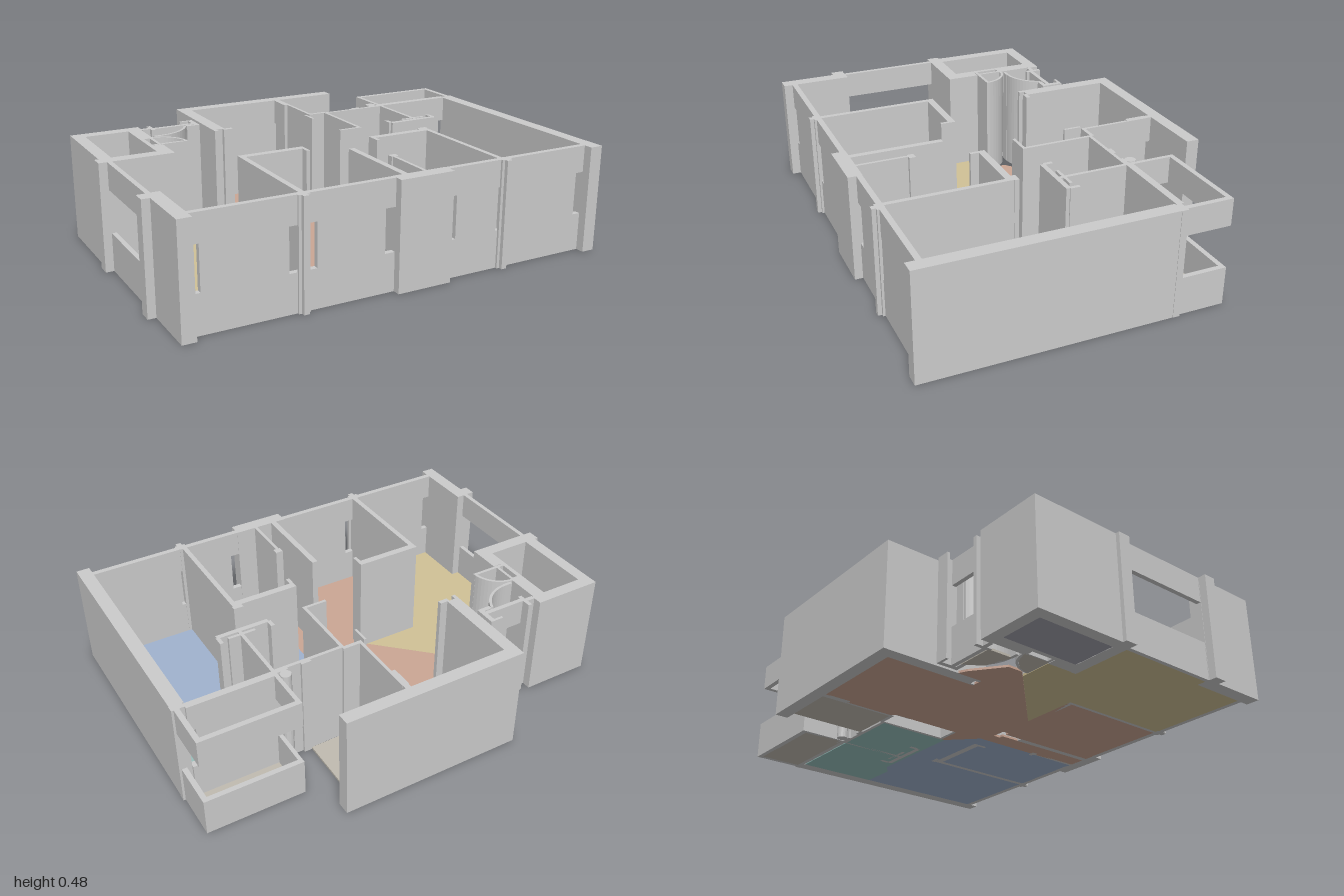
import * as THREE from 'three';

const H = 0.48, SILL = 0.17, HEAD = 0.36;

export function createModel() {
  const model = new THREE.Group();
  const grey = new THREE.MeshStandardMaterial({ color: 0xcccccc, flatShading: true });

  // Upright block given by its plan rectangle and height range
  function wall(name, x0, x1, z0, z1, y0 = 0, y1 = H) {
    const m = new THREE.Mesh(new THREE.BoxGeometry(x1 - x0, y1 - y0, z1 - z0), grey);
    m.position.set((x0 + x1) / 2, (y0 + y1) / 2, (z0 + z1) / 2);
    m.name = name;
    model.add(m);
  }
  // Window: a sill band and a head band with a gap between
  function windowBands(name, x0, x1, z0, z1) {
    wall(name + 'Sill', x0, x1, z0, z1, 0, SILL);
    wall(name + 'Head', x0, x1, z0, z1, HEAD, H);
  }
  // Extruded plan shape; points are [x, z]
  function slab(name, pts, height, material) {
    const shape = new THREE.Shape(pts.map(([x, z]) => new THREE.Vector2(x, -z)));
    const geo = new THREE.ExtrudeGeometry(shape, { depth: height, bevelEnabled: false });
    geo.rotateX(-Math.PI / 2);
    const m = new THREE.Mesh(geo, material);
    m.name = name;
    model.add(m);
  }
  const floor = (name, color, pts) =>
    slab(name, pts, 0.01, new THREE.MeshStandardMaterial({ color }));
  const rect = (x0, x1, z0, z1) => [[x0, z0], [x1, z0], [x1, z1], [x0, z1]];
  // Curved thin partition
  function curvedWall(name, cx, cz, r, a0, a1, t = 0.012) {
    const pts = [], n = 12;
    for (let i = 0; i <= n; i++) {
      const a = a0 + (a1 - a0) * i / n;
      pts.push([cx + r * Math.cos(a), cz + r * Math.sin(a)]);
    }
    for (let i = n; i >= 0; i--) {
      const a = a0 + (a1 - a0) * i / n;
      pts.push([cx + (r - t) * Math.cos(a), cz + (r - t) * Math.sin(a)]);
    }
    slab(name, pts, H, grey);
  }

  // Room floors
  floor('hallFloor', 0xcba694, [[-0.325, -0.7], [0.13, -0.7], [0.145, -0.58], [0.145, -0.37],
    [0.127, -0.34], [0.127, -0.03], [0.235, -0.02], [0.235, 0], [0.115, 0.12], [0.115, 0.69],
    [0.03, 0.69], [0.03, 0.18], [0.05, 0.18], [0.05, 0.145], [-0.015, 0.145], [-0.015, 0.18],
    [0.005, 0.18], [0.005, 0.69], [-0.435, 0.69], [-0.435, 0.15], [-0.18, 0.15], [-0.55, -0.21],
    [-0.55, -0.28], [-0.42, -0.38], [-0.38, -0.4], [-0.38, -0.28], [-0.325, -0.28]]);
  floor('livingRoomFloor', 0xd0c196, [[-0.945, -0.03], [-0.67, -0.03], [-0.67, -0.18], [-0.52, -0.18],
    [-0.18, 0.15], [-0.45, 0.15], [-0.45, 0.69], [-0.905, 0.69], [-0.905, 0.43], [-0.945, 0.43]]);
  floor('bedroomFloor', 0xa0b2ce, [[0.115, 0.12], [0.235, 0], [0.71, 0], [0.76, 0.04],
    [0.93, 0.04], [0.93, 0.69], [0.115, 0.69]]);
  floor('bathFloor', 0x98c0bc, [[0.235, -0.335], [0.93, -0.335], [0.93, 0.04],
    [0.76, 0.04], [0.71, 0], [0.235, 0]]);
  floor('utilityFloor', 0xa09fa9, rect(-0.93, -0.73, -0.46, -0.09));
  floor('rearTerraceFloor', 0xc0bbb0, rect(0.155, 0.395, -0.7, -0.36));
  floor('sideBalconyFloor', 0xc0bbb0, rect(0.55, 0.96, -0.55, -0.36));
  floor('nicheFloor', 0xc0bbb0, [[-0.62, -0.44], [-0.45, -0.44], [-0.5, -0.36], [-0.62, -0.32]]);
  floor('closetFloor', 0xc0bbb0, [[-0.68, -0.31], [-0.62, -0.29], [-0.57, -0.24], [-0.55, -0.185], [-0.68, -0.185]]);

  // Front facade: window slots and solid panels
  const z0 = 0.687, z1 = 0.712;
  for (const [a, b] of [[-0.91, -0.87], [-0.51, -0.46], [-0.44, -0.39], [-0.085, -0.04],
    [0.21, 0.255], [0.46, 0.485], [0.51, 0.53], [0.89, 0.93]]) windowBands('frontSlot', a, b, z0, z1);
  for (const [a, b] of [[-0.87, -0.51], [-0.39, -0.085], [0.255, 0.46], [0.53, 0.89]])
    wall('frontPanel', a, b, z0, z1);
  wall('frontCentrePier', -0.04, 0.212, 0.685, 0.748);
  for (const x of [-0.45, 0.4975]) {
    wall('frontFin', x - 0.0125, x + 0.0125, 0.685, 0.74);
    wall('frontFinFlange', x - 0.025, x + 0.025, 0.71, 0.722);
  }

  // Right side wall, its front pier and rear wall
  wall('rightWall', 0.928, 0.988, -0.335, 0.752);
  wall('rearRightWall', 0.54, 0.905, -0.372, -0.34);
  windowBands('rearRightSlot', 0.905, 0.935, -0.372, -0.34);
  wall('rearRightCorner', 0.935, 0.99, -0.36, -0.33);

  // Side balcony rail and beam
  windowBands('balconyBack', 0.54, 0.98, -0.57, -0.547);
  windowBands('balconyRight', 0.957, 0.98, -0.547, -0.36);
  windowBands('balconyLeft', 0.54, 0.558, -0.547, -0.372);
  const pipe = new THREE.Mesh(new THREE.CylinderGeometry(0.024, 0.024, H, 16), grey);
  pipe.position.set(0.513, H / 2, -0.382);
  pipe.name = 'drainPipe';
  model.add(pipe);
  wall('pipeBracket', 0.49, 0.545, -0.36, -0.335);

  // Left side: front pier, window, stub
  wall('leftFrontPier', -0.965, -0.905, 0.43, 0.752);
  wall('leftPierStub', -1, -0.96, 0.432, 0.49);
  windowBands('leftWindow', -0.963, -0.942, -0.03, 0.43);

  // Utility room box
  wall('utilityLeftWall', -0.982, -0.928, -0.515, -0.03);
  wall('utilityCorner', -1, -0.975, -0.088, -0.03);
  wall('utilityBackWall', -0.928, -0.665, -0.515, -0.46);
  wall('utilityFrontWall', -0.928, -0.668, -0.088, -0.03);
  wall('utilityRightWall', -0.73, -0.67, -0.46, -0.31);
  wall('utilityRightWall', -0.73, -0.71, -0.31, -0.18);
  wall('utilityRightWall', -0.73, -0.668, -0.18, -0.088);

  // Entry niche with window and curved partitions
  windowBands('nicheWindow', -0.61, -0.42, -0.465, -0.445);
  wall('nicheLeftPost', -0.628, -0.61, -0.505, -0.43);
  wall('nicheLeftReturn', -0.665, -0.628, -0.475, -0.455);
  wall('nicheRightPost', -0.42, -0.398, -0.52, -0.42);
  wall('nicheRightFlange', -0.46, -0.398, -0.52, -0.508);
  wall('nicheStub', -0.46, -0.42, -0.44, -0.42);
  curvedWall('curvedPartition', -0.62, -0.49, 0.17, 0.35, 1.57);
  wall('curvedPartitionEnd', -0.655, -0.615, -0.332, -0.318);
  curvedWall('closetCurve', -0.68, -0.185, 0.13, -1.57, 0);
  wall('closetSide', -0.71, -0.67, -0.31, -0.298);
  wall('closetSide', -0.685, -0.672, -0.31, -0.185);
  wall('closetFront', -0.71, -0.55, -0.197, -0.183);

  // Rear hall walls
  wall('rearWall', -0.382, 0.455, -0.758, -0.7);
  wall('rearLeftWall', -0.382, -0.325, -0.7, -0.3);
  wall('rearLeftTip', -0.382, -0.365, -0.3, -0.275);
  wall('rearLeftTip', -0.335, -0.29, -0.3, -0.28);
  windowBands('terraceSlot', 0.13, 0.155, -0.7, -0.68);
  wall('terraceWall', 0.143, 0.157, -0.68, -0.36);
  wall('terraceWallPier', 0.127, 0.145, -0.68, -0.58);
  wall('terraceFront', 0.143, 0.235, -0.362, -0.345);
  wall('shaftLeft', 0.118, 0.13, -0.35, -0.27);
  wall('shaftRight', 0.225, 0.24, -0.345, -0.02);
  wall('shaftFront', 0.127, 0.24, -0.03, -0.016);
  wall('bathBackWall', 0.235, 0.545, -0.35, -0.335);
  wall('terraceTip', 0.385, 0.43, -0.362, -0.348);

  // Bath partition and its T-shaped end
  wall('bathPartition', 0.54, 0.556, -0.34, -0.03);
  wall('bathFrontWall', 0.41, 0.65, -0.036, -0.014);
  wall('bathFrontTip', 0.4, 0.418, -0.07, -0.03);
  wall('bathFrontTip', 0.638, 0.655, -0.075, -0.03);
  wall('bathPartitionFoot', 0.485, 0.61, -0.062, -0.048);

  // Inner partitions with hooked ends
  wall('livingPartition', -0.458, -0.434, 0.14, 0.69);
  wall('livingPartitionReturn', -0.434, -0.152, 0.14, 0.172);
  wall('livingPartitionHook', -0.168, -0.152, 0.172, 0.21);
  wall('bedroomPartition', 0.474, 0.496, 0.135, 0.69);
  wall('bedroomPartitionReturn', 0.184, 0.474, 0.14, 0.172);
  wall('bedroomPartitionHook', 0.184, 0.2, 0.172, 0.21);
  wall('bedroomPartitionTip', 0.455, 0.5, 0.12, 0.14);
  wall('centrePartition', 0.004, 0.031, 0.27, 0.69);
  wall('bedroomDoorWall', 0.106, 0.12, 0.46, 0.69);
  wall('bedroomDoorJamb', 0.1, 0.135, 0.43, 0.46);

  return model;
}
